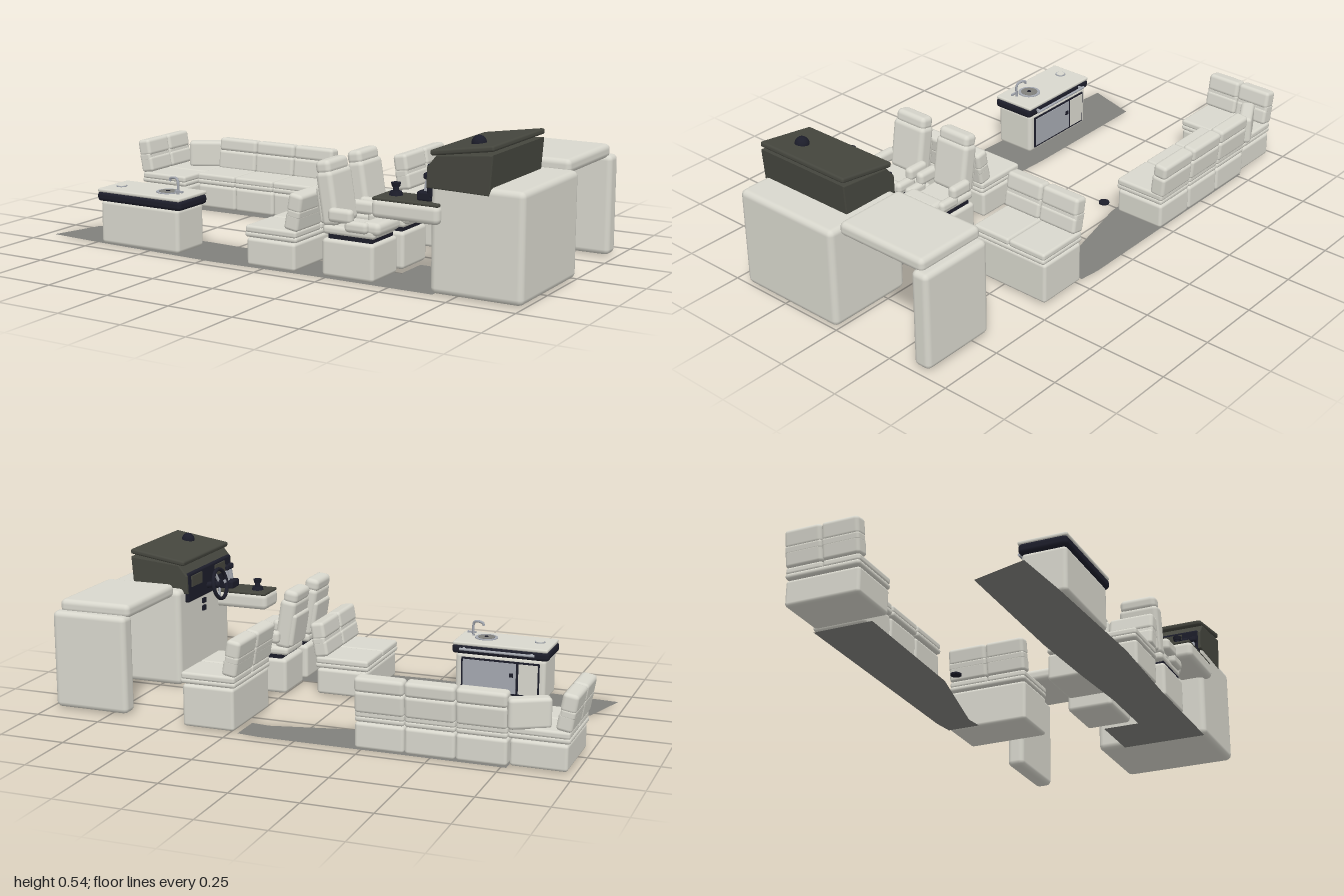
import * as THREE from 'three';
import { RoundedBoxGeometry } from 'three/addons/geometries/RoundedBoxGeometry.js';

const paint = (name, color, side = THREE.FrontSide) => {
  const m = new THREE.MeshStandardMaterial({ color, side });
  m.name = name;
  return m;
};

export function createModel() {
  const cream = paint('cream vinyl', 0xd8d7cd);
  const grey = paint('deck grey', 0x80807c, THREE.DoubleSide);
  const charcoal = paint('charcoal dash', 0x45463e);
  const navy = paint('dark navy trim', 0x1c1d2a);
  const steel = paint('steel', 0xa4a8b0);
  const model = new THREE.Group();

  const add = (name, geometry, material, x = 0, y = 0, z = 0, parent = model) => {
    const mesh = new THREE.Mesh(geometry, material);
    mesh.name = name;
    mesh.position.set(x, y, z);
    parent.add(mesh);
    return mesh;
  };
  // Box given by its limits on each axis; r rounds the edges
  const box = (name, [x0, x1], [y0, y1], [z0, z1], r = 0.012, material = cream, parent = model) => {
    const w = x1 - x0, h = y1 - y0, d = z1 - z0;
    const g = r ? new RoundedBoxGeometry(w, h, d, 2, Math.min(r, w / 2.1, h / 2.1, d / 2.1)) : new THREE.BoxGeometry(w, h, d);
    return add(name, g, material, (x0 + x1) / 2, (y0 + y1) / 2, (z0 + z1) / 2, parent);
  };
  const cyl = (name, r0, r1, h, material, x, y, z, parent = model) =>
    add(name, new THREE.CylinderGeometry(r0, r1, h, 20), material, x, y, z, parent);
  const group = (name, x = 0, y = 0, z = 0, parent = model) => {
    const g = new THREE.Group();
    g.name = name;
    g.position.set(x, y, z);
    parent.add(g);
    return g;
  };
  // Flat floor mat from an outline of x, z points
  const mat = (name, points) => {
    const g = new THREE.ShapeGeometry(new THREE.Shape(points.map(([x, z]) => new THREE.Vector2(x, -z))));
    add(name, g.rotateX(-Math.PI / 2), grey, 0, 0.001, 0);
  };

  // Floor mats and table socket
  mat('sideDeckMat', [[-0.965, 0.415], [-0.905, 0.215], [-0.36, 0.215], [-0.07, 0.23], [0.2, 0.25],
    [0.45, 0.25], [0.45, 0.11], [0.67, 0.11], [0.67, 0.44], [0.2, 0.44], [-0.2, 0.455], [-0.72, 0.433]]);
  mat('loungeMat', [[-0.77, -0.225], [-0.22, -0.235], [0.15, -0.32], [0.22, -0.312], [0.22, -0.44],
    [0.14, -0.45], [-0.77, -0.45]]);
  cyl('tableSocket', 0.02, 0.02, 0.006, navy, -0.25, 0.003, -0.175);

  // Two-place bench that faces +x before turning; the backrest leans over its rear edge
  const bench = (name, x, z, length, h, dir) => {
    const s = group(name, x, 0, z);
    s.rotation.y = dir > 0 ? 0 : Math.PI;
    const half = length / 2;
    box('seatBase', [-0.1, 0.1], [0.005, h], [-half, half], 0.012, cream, s);
    box('seatRim', [-0.107, 0.108], [h + 0.002, h + 0.023], [-half, half], 0.01, cream, s);
    for (const k of [-1, 1]) {
      const zs = k > 0 ? [0.001, half] : [-half, -0.001];
      box('seatCushion', [-0.105, 0.106], [h + 0.018, h + 0.045], zs, 0.01, cream, s);
      const back = group('backrest', -0.083, h + 0.045, 0, s);
      back.rotation.z = 0.17;
      box('backLower', [-0.026, 0.03], [0, 0.062], zs, 0.012, cream, back);
      box('backMiddle', [-0.026, 0.026], [0.045, 0.078], zs, 0.01, cream, back);
      box('backUpper', [-0.026, 0.03], [0.066, 0.133], zs, 0.014, cream, back);
    }
  };
  bench('aftFacingBench', 0.033, 0.272, 0.345, 0.105, -1);
  bench('companionBench', 0.333, -0.285, 0.32, 0.162, 1);
  bench('loungeEndSeat', -0.876, -0.3, 0.28, 0.1, 1);

  // Long lounge with three places and an angled corner cushion
  for (let i = 0; i < 3; i++) {
    const xs = [-0.772 + i * 0.182, -0.592 + i * 0.182];
    box('loungeBase', xs, [0.005, 0.1], [-0.455, -0.255], 0.012);
    box('loungeRim', xs, [0.102, 0.124], [-0.455, -0.248], 0.01);
    box('loungeCushion', xs, [0.118, 0.146], [-0.455, -0.25], 0.01);
    const back = group('loungeBack', 0, 0.146, -0.432);
    back.rotation.x = -0.09;
    box('backLower', xs, [-0.01, 0.07], [-0.027, 0.032], 0.013, cream, back);
    box('backUpper', xs, [0.066, 0.12], [-0.027, 0.029], 0.014, cream, back);
  }
  const corner = group('cornerBack', -0.835, 0, -0.418);
  corner.rotation.y = 0.5;
  box('cornerCushion', [-0.075, 0.075], [0.14, 0.248], [-0.026, 0.026], 0.014, cream, corner);

  // Pair of helm chairs
  for (const z of [0.136, 0.35]) {
    const s = group('helmChair', 0, 0, z);
    box('chairBase', [0.238, 0.442], [0.005, 0.14], [-0.088, 0.088], 0.014, cream, s);
    box('chairSlide', [0.26, 0.43], [0.138, 0.156], [-0.075, 0.075], 0, navy, s);
    box('chairSeat', [0.235, 0.44], [0.152, 0.185], [-0.08, 0.08], 0.014, cream, s);
    box('chairBolster', [0.385, 0.46], [0.165, 0.212], [-0.08, 0.08], 0.02, cream, s);
    const back = group('chairBack', 0.262, 0.18, 0, s);
    back.rotation.z = 0.16;
    box('backPad', [-0.03, 0.034], [0, 0.19], [-0.076, 0.076], 0.018, cream, back);
    box('backShell', [-0.04, -0.01], [0.01, 0.14], [-0.07, 0.07], 0.012, cream, back);
    box('headPad', [-0.03, 0.028], [0.178, 0.228], [-0.07, 0.07], 0.018, cream, back);
    for (const k of [-1, 1]) {
      const arm = group('armrest', 0, 0, k * 0.08, s);
      box('armTop', [0.265, 0.36], [0.2, 0.25], [-0.018, 0.018], 0.016, cream, arm);
      box('armFront', [0.33, 0.42], [0.172, 0.212], [-0.017, 0.017], 0.015, cream, arm);
    }
  }

  // Galley unit with sink, tap and doors on its inner side
  box('galleyBase', [-0.712, -0.36], [0.005, 0.17], [0.287, 0.45], 0.015);
  box('galleyBand', [-0.724, -0.346], [0.166, 0.203], [0.28, 0.457], 0.014, navy);
  box('galleyTop', [-0.72, -0.35], [0.2, 0.214], [0.278, 0.456], 0.006);
  cyl('sinkRim', 0.044, 0.044, 0.006, steel, -0.457, 0.214, 0.373);
  cyl('sinkBowl', 0.033, 0.033, 0.003, grey, -0.457, 0.217, 0.373);
  cyl('sinkDrain', 0.008, 0.008, 0.002, navy, -0.457, 0.219, 0.373);
  cyl('burnerRim', 0.02, 0.02, 0.004, steel, -0.665, 0.215, 0.38);
  cyl('burnerPlate', 0.016, 0.016, 0.003, cream, -0.665, 0.217, 0.38);
  const tap = new THREE.CatmullRomCurve3([[-0.4, 0.21, 0.39], [-0.4, 0.26, 0.39], [-0.408, 0.271, 0.387], [-0.44, 0.268, 0.38], [-0.443, 0.258, 0.38]]
    .map(p => new THREE.Vector3(...p)));
  add('tap', new THREE.TubeGeometry(tap, 20, 0.005, 8), steel);
  box('tapLever', [-0.408, -0.375], [0.222, 0.229], [0.392, 0.4], 0, steel);
  box('doorFrame', [-0.69, -0.385], [0.022, 0.155], [0.283, 0.288], 0, navy);
  box('galleyDoor', [-0.6, -0.392], [0.03, 0.148], [0.28, 0.285], 0, steel);
  box('galleySideDoor', [-0.684, -0.61], [0.03, 0.148], [0.28, 0.285], 0, cream);
  box('doorLatch', [-0.59, -0.575], [0.095, 0.11], [0.276, 0.281], 0, navy);
  const rail = cyl('handRail', 0.005, 0.005, 0.29, steel, -0.528, 0.19, 0.264);
  rail.rotation.z = Math.PI / 2;
  for (const x of [-0.66, -0.396]) box('railPost', [x - 0.004, x + 0.004], [0.186, 0.194], [0.262, 0.285], 0, steel);

  // Helm console with side cabinet top and end panel
  box('console', [0.66, 0.998], [0.004, 0.382], [0.001, 0.448], 0.022);
  box('cabinetTop', [0.677, 0.962], [0.36, 0.412], [-0.376, 0], 0.02);
  box('cabinetEnd', [0.68, 0.978], [0.005, 0.372], [-0.407, -0.338], 0.02);

  // Sloped dash pod
  const profile = new THREE.Shape([[0.65, 0.365], [0.872, 0.36], [0.882, 0.488], [0.685, 0.47], [0.652, 0.43]]
    .map(p => new THREE.Vector2(...p)));
  add('dashPod', new THREE.ExtrudeGeometry(profile, { depth: 0.395, bevelSize: 0.004, bevelThickness: 0.004, bevelSegments: 2 }), charcoal, 0, 0, 0.05);
  const lid = group('dashLid', 0.773, 0.496, 0.247);
  lid.rotation.z = 0.15;
  box('lidPanel', [-0.116, 0.116], [-0.01, 0.01], [-0.202, 0.202], 0.008, charcoal, lid);
  const compass = add('compass', new THREE.SphereGeometry(0.026, 20, 12), navy, 0.787, 0.508, 0.347);
  compass.scale.y = 1.05;
  box('instrumentPanel', [0.643, 0.67], [0.325, 0.44], [0.055, 0.44], 0.008, navy);
  for (const z of [0.12, 0.33]) {
    box('display', [0.638, 0.645], [0.385, 0.428], [z - 0.045, z + 0.045], 0, charcoal);
  }
  for (const y of [0.26, 0.29]) box('switchPlate', [0.653, 0.661], [y, y + 0.02], [0.2, 0.225], 0, navy);

  // Steering wheel, facing the helm chairs
  const wheel = group('steeringWheel', 0.59, 0.37, 0.222);
  wheel.rotation.z = -0.17;
  add('wheelRim', new THREE.TorusGeometry(0.058, 0.0075, 10, 32).rotateY(Math.PI / 2), navy, 0, 0, 0, wheel);
  cyl('wheelHub', 0.018, 0.018, 0.016, navy, 0, 0, 0, wheel).rotation.z = Math.PI / 2;
  cyl('wheelColumn', 0.012, 0.012, 0.08, navy, 0.035, 0, 0, wheel).rotation.z = Math.PI / 2;
  for (let i = 0; i < 3; i++) {
    const spoke = group('wheelSpoke', 0, 0, 0, wheel);
    spoke.rotation.x = Math.PI / 2 + i * Math.PI * 2 / 3;
    box('spokeBar', [-0.003, 0.003], [0, 0.056], [-0.006, 0.006], 0, steel, spoke);
  }

  // Control shelf with throttle levers and a joystick
  box('controlShelf', [0.45, 0.704], [0.242, 0.308], [0.347, 0.475], 0.02);
  box('shelfPad', [0.453, 0.7], [0.302, 0.314], [0.347, 0.468], 0.005, charcoal);
  cyl('joystickBase', 0.02, 0.024, 0.014, navy, 0.508, 0.32, 0.4);
  cyl('joystickStem', 0.009, 0.012, 0.024, navy, 0.508, 0.335, 0.4);
  cyl('joystickKnob', 0.017, 0.014, 0.014, navy, 0.508, 0.35, 0.4);
  box('throttleBase', [0.605, 0.66], [0.312, 0.345], [0.37, 0.44], 0.008, navy);
  for (const z of [0.388, 0.422]) {
    const lever = group('throttleLever', 0.632, 0.34, z);
    lever.rotation.z = -0.15;
    box('leverArm', [-0.006, 0.006], [0, 0.055], [-0.005, 0.005], 0, steel, lever);
    box('leverGrip', [-0.014, 0.014], [0.045, 0.068], [-0.014, 0.014], 0.008, navy, lever);
  }
  return model;
}
